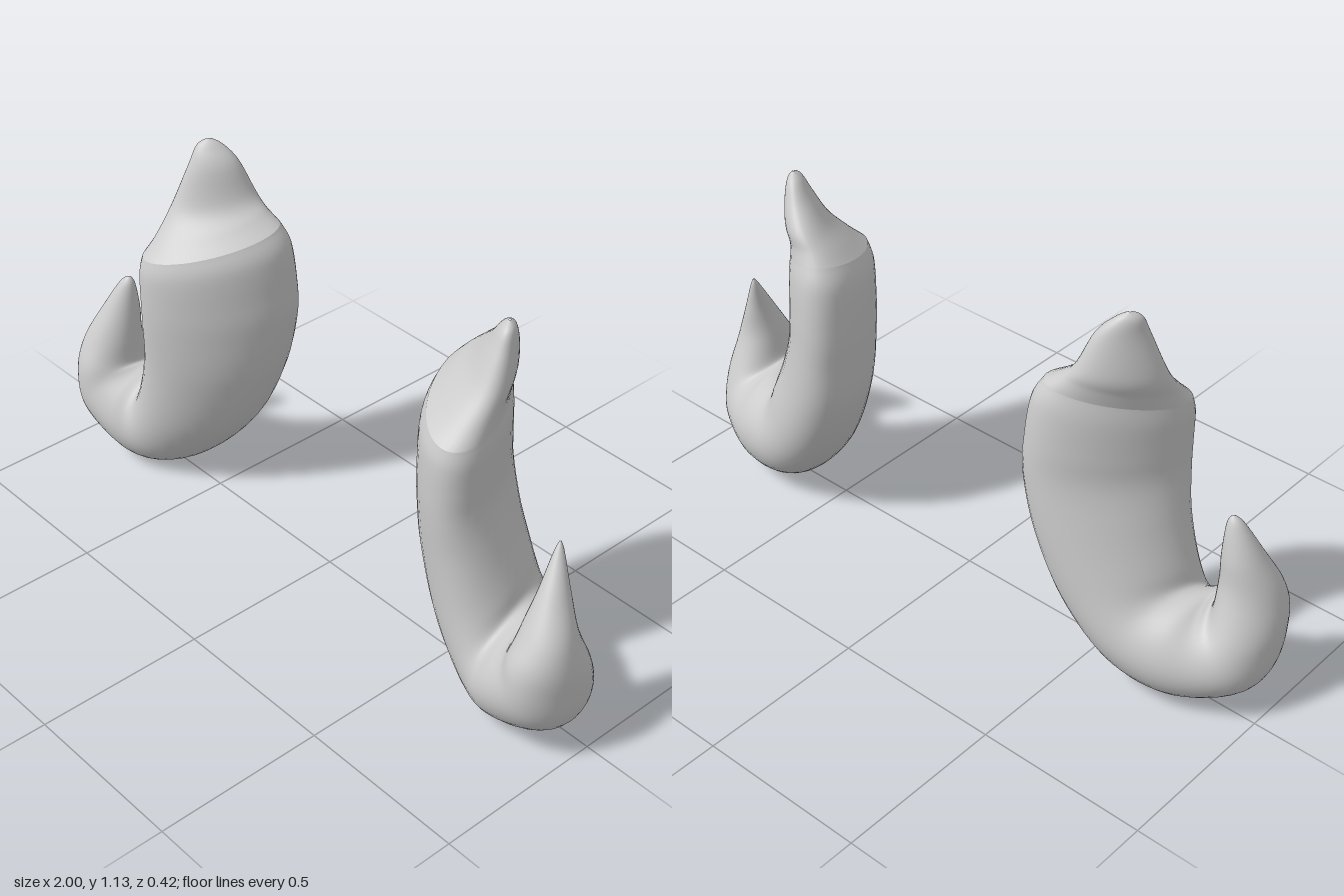
import * as THREE from 'three';

const SIDES = 40, STEPS = 7;

// Each key section: centre xyz, half-axis U xyz (wide), half-axis V xyz (towards the inside of the hook)
const collar = [0.515, 0.853, -0.008, 0.1, -0.045, 0.158, 0.085, 0, -0.055];

// Bevelled tip, narrowing from its apex down to the collar
const tipKeys = (x, y) => [
  [x, y, -0.06, 0.002, 0, 0.003, 0.002, 0, -0.001],
  [x - 0.004, y - 0.02, -0.06, 0.022, 0, 0.03, 0.018, 0, -0.011],
  [x - 0.018, y - 0.07, -0.061, 0.043, -0.003, 0.056, 0.033, 0, -0.022],
  [0.548, 0.95, -0.053, 0.073, -0.02, 0.095, 0.052, 0, -0.034],
  [0.528, 0.892, -0.025, 0.09, -0.038, 0.13, 0.07, 0, -0.045],
];

const bladeKeys = [
  [0.505, 0.8, -0.012, 0.112, -0.04, 0.174, 0.096, 0, -0.06],
  [0.5, 0.7, -0.017, 0.115, -0.025, 0.182, 0.1, 0, -0.06],
  [0.502, 0.6, -0.02, 0.115, -0.015, 0.183, 0.102, 0.01, -0.06],
];

const bendKeys = [
  [0.525, 0.45, -0.025, 0.11, 0, 0.18, 0.113, 0.04, -0.055],
  [0.59, 0.285, -0.022, 0.08, 0, 0.178, 0.105, 0.085, -0.04],
  [0.68, 0.175, -0.01, 0.04, 0, 0.177, 0.05, 0.138, -0.02],
  [0.785, 0.157, 0.017, 0, 0, 0.174, 0, 0.152, 0],
  [0.885, 0.2, 0.05, 0, 0.01, 0.152, -0.08, 0.11, 0],
  [0.91, 0.28, 0.068, 0, 0.02, 0.127, -0.09, 0.04, 0],
];

// Short upturned horn; the right one is blunter and leans further forward
const leftHorn = [
  [0.907, 0.38, 0.075, 0.01, 0, 0.082, -0.075, 0.01, 0],
  [0.887, 0.48, 0.047, 0.005, 0, 0.047, -0.042, 0, 0],
  [0.864, 0.575, 0.014, 0.002, 0, 0.016, -0.014, 0, 0],
  [0.859, 0.605, 0.006, 0.001, 0, 0.002, -0.002, 0, 0],
];
const rightHorn = [
  [0.902, 0.38, 0.075, 0.01, 0, 0.087, -0.078, 0.01, 0],
  [0.88, 0.48, 0.055, 0.005, 0, 0.055, -0.053, 0, 0],
  [0.858, 0.57, 0.043, 0.002, 0, 0.022, -0.024, 0, 0],
  [0.85, 0.597, 0.04, 0.001, 0, 0.002, -0.002, 0, 0],
];

// Adds width on the inner edge of sections
const widen = (keys, w) => keys.map(([x, y, z, u, ...rest]) => [x - w / 2, y, z, u + w, ...rest]);

// Catmull-Rom blend between neighbouring key sections
function sectionAt(keys, i, t) {
  const at = (k) => keys[Math.min(Math.max(k, 0), keys.length - 1)];
  const [p, a, b, n] = [at(i - 1), at(i), at(i + 1), at(i + 2)];
  return a.map((v, k) => v + 0.5 * t * (b[k] - p[k]
    + t * (2 * p[k] - 5 * v + 4 * b[k] - n[k] + t * (3 * (v - b[k]) + n[k] - p[k]))));
}

// Skin of elliptical rings; mirror = -1 gives the opposite-handed copy
function loft(keys, mirror) {
  const pos = [], index = [];
  const rings = (keys.length - 1) * STEPS + 1;
  for (let r = 0; r < rings; r++) {
    const i = Math.min(Math.floor(r / STEPS), keys.length - 2);
    const s = sectionAt(keys, i, r / STEPS - i);
    for (let j = 0; j < SIDES; j++) {
      const a = (j / SIDES) * Math.PI * 2, c = Math.cos(a), d = Math.sin(a);
      const [x, y, z] = [0, 1, 2].map((k) => s[k] + s[k + 3] * c + s[k + 6] * d);
      pos.push(x * mirror, y, z);
    }
  }
  for (let r = 0; r < rings - 1; r++) {
    for (let j = 0; j < SIDES; j++) {
      const a = r * SIDES + j, b = r * SIDES + (j + 1) % SIDES;
      const c = a + SIDES, d = b + SIDES;
      if (mirror > 0) index.push(a, c, b, b, c, d);
      else index.push(a, b, c, b, d, c);
    }
  }
  const g = new THREE.BufferGeometry();
  g.setAttribute('position', new THREE.Float32BufferAttribute(pos, 3));
  g.setIndex(index);
  g.computeVertexNormals();
  return g;
}

export function createModel() {
  const model = new THREE.Group();
  model.name = 'hookPair';
  const material = new THREE.MeshStandardMaterial({ color: 0xcccccc });

  // Left hook and its slightly taller, wider mirrored twin
  const sides = [
    { name: 'left', mirror: 1, apex: [0.588, 1.09], width: 0, horn: leftHorn },
    { name: 'right', mirror: -1, apex: [0.568, 1.13], width: 0.014, horn: rightHorn },
  ];
  for (const { name, mirror, apex, width, horn } of sides) {
    const hook = new THREE.Group();
    hook.name = name + 'Hook';
    const [rim, ...blade] = widen([collar, ...bladeKeys], width);
    const parts = {
      Body: [rim, ...blade, ...bendKeys, ...horn],
      BevelledTip: [...tipKeys(...apex), rim],
    };
    for (const [part, keys] of Object.entries(parts)) {
      const mesh = new THREE.Mesh(loft(keys, mirror), material);
      mesh.name = name + part;
      hook.add(mesh);
    }
    model.add(hook);
  }
  return model;
}
